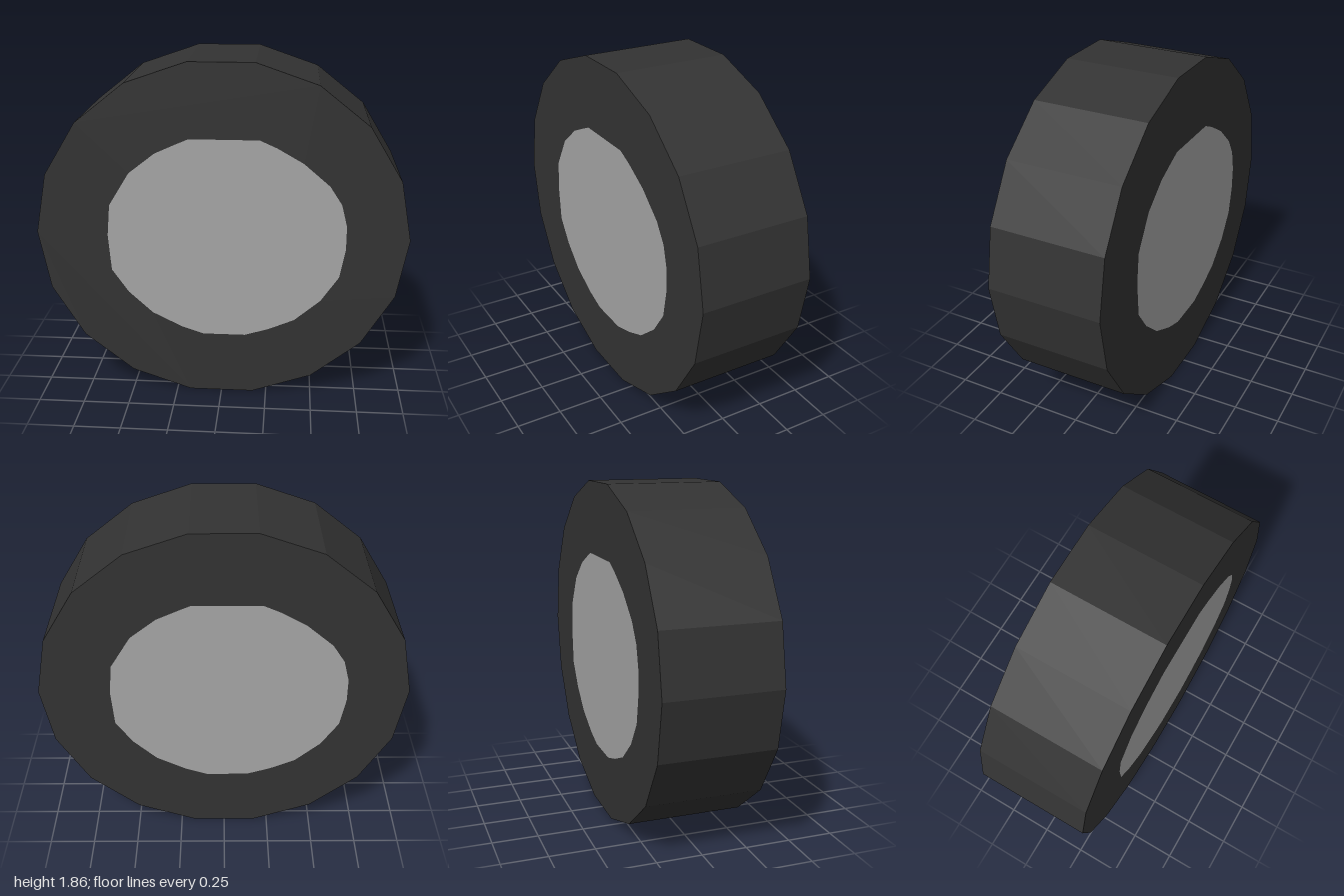
import * as THREE from 'three';

const SIDES = 18;
const HALF_WIDTH = 0.315;
const RADIUS_Y = 0.944; // the wheel is slightly squashed in height
const CENTRE_Y = 0.93;

// irregular hub outline, counter-clockwise, relative to the ground
const HUB = [
  [0.2, 1.46], [-0.17, 1.46], [-0.24, 1.43], [-0.35, 1.38], [-0.49, 1.27], [-0.6, 1.09],
  [-0.615, 0.92], [-0.6, 0.72], [-0.51, 0.59], [-0.38, 0.47], [-0.22, 0.39], [-0.1, 0.35],
  [0.13, 0.35], [0.26, 0.39], [0.4, 0.45], [0.54, 0.57], [0.635, 0.71], [0.665, 0.87],
  [0.665, 1.0], [0.635, 1.12], [0.57, 1.22], [0.43, 1.34], [0.29, 1.42],
].map(([x, y]) => new THREE.Vector2(x, y - CENTRE_Y));

export function createModel() {
  const rubber = new THREE.MeshStandardMaterial({ color: 0x333333 });
  rubber.name = 'darkRubber';
  const metal = new THREE.MeshStandardMaterial({ color: 0xa6a6a6 });
  metal.name = 'greyMetal';

  const model = new THREE.Group();
  model.name = 'wheel';
  const add = (parent, name, geometry, material) => {
    const mesh = new THREE.Mesh(geometry, material);
    mesh.name = name;
    parent.add(mesh);
    return mesh;
  };

  // faceted tread around the rim
  const tread = new THREE.CylinderGeometry(1, 1, 2 * HALF_WIDTH, SIDES, 1, true, Math.PI / 2)
    .rotateX(Math.PI / 2)
    .scale(1, RADIUS_Y, 1)
    .toNonIndexed();
  tread.computeVertexNormals();
  add(model, 'tread', tread, rubber).position.y = CENTRE_Y;

  // sidewall ring with the hub face set flush in its opening
  const outline = Array.from({ length: SIDES }, (_, i) => {
    const a = (i / SIDES) * Math.PI * 2;
    return new THREE.Vector2(Math.cos(a), RADIUS_Y * Math.sin(a));
  });
  const ring = new THREE.Shape(outline);
  ring.holes.push(new THREE.Path(HUB));
  const ringGeometry = new THREE.ShapeGeometry(ring);
  const hubGeometry = new THREE.ShapeGeometry(new THREE.Shape(HUB));

  // the back is the front turned half way round
  for (const [name, turn] of [['front', 0], ['back', Math.PI]]) {
    const side = new THREE.Group();
    side.name = name + 'Side';
    side.rotation.y = turn;
    side.position.y = CENTRE_Y;
    add(side, name + 'Sidewall', ringGeometry, rubber).position.z = HALF_WIDTH;
    add(side, name + 'Hub', hubGeometry, metal).position.z = HALF_WIDTH;
    model.add(side);
  }
  return model;
}
